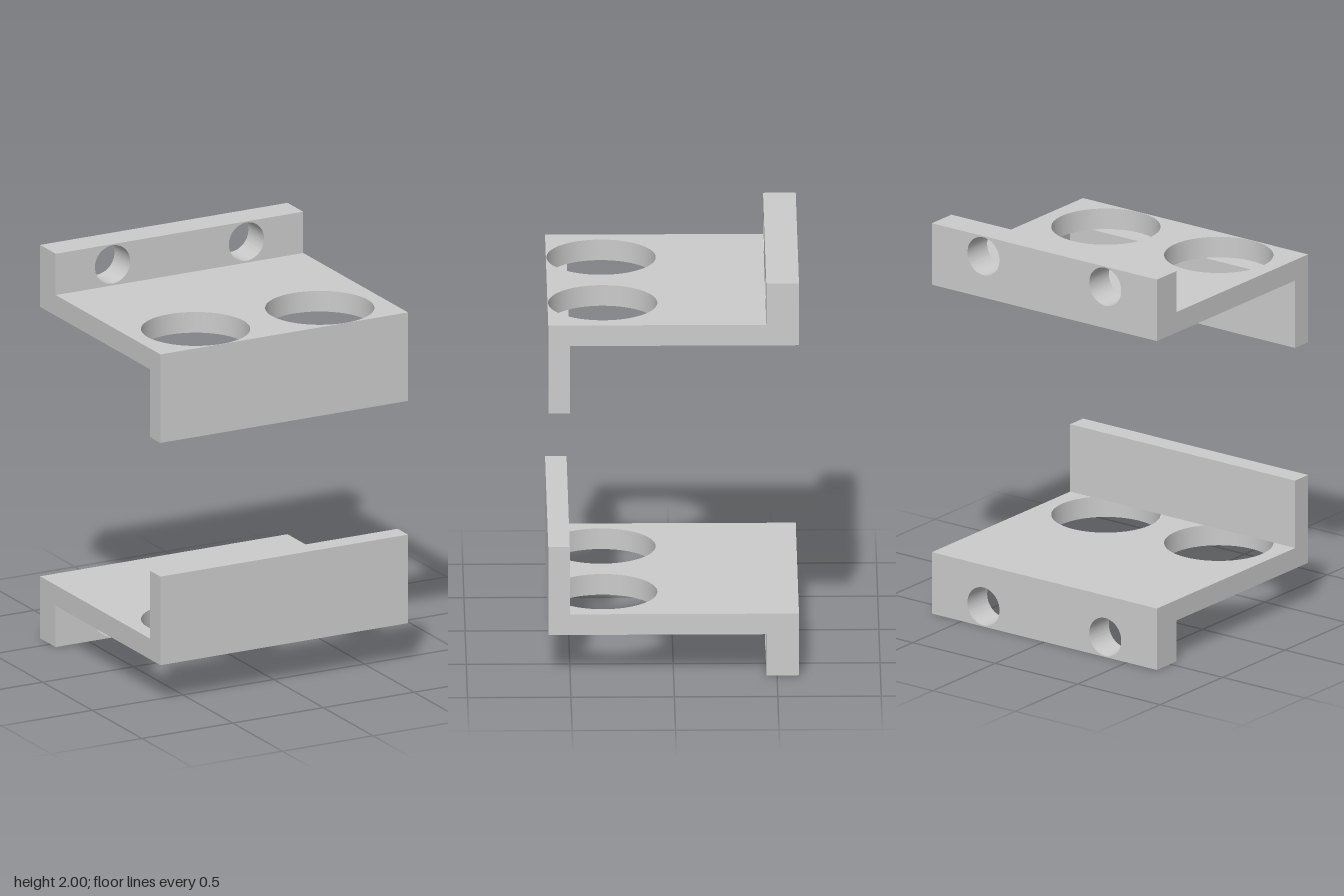
import * as THREE from 'three';
import { toCreasedNormals } from 'three/addons/utils/BufferGeometryUtils.js';

const HALF_W = 0.682, BACK = -0.606, FRONT = 0.606;
const PLATE_TOP = 1.79, PLATE_BOTTOM = 1.685;
const material = new THREE.MeshStandardMaterial({ color: 0xcccccc });

// Rectangular slab with a mirrored pair of round holes, extruded along +z
function drilledSlab(y0, y1, depth, holeX, holeY, radius) {
  const shape = new THREE.Shape([
    new THREE.Vector2(-HALF_W, y0), new THREE.Vector2(HALF_W, y0),
    new THREE.Vector2(HALF_W, y1), new THREE.Vector2(-HALF_W, y1),
  ]);
  for (const side of [-1, 1]) {
    shape.holes.push(new THREE.Path().absarc(side * holeX, holeY, radius, 0, Math.PI * 2, true));
  }
  const geometry = new THREE.ExtrudeGeometry(shape, { depth, bevelEnabled: false, curveSegments: 64 });
  return toCreasedNormals(geometry, 0.5);
}

function part(name, geometry) {
  const mesh = new THREE.Mesh(geometry, material);
  mesh.name = name;
  return mesh;
}

function createBracket(name) {
  const bracket = new THREE.Group();
  bracket.name = name;

  // Horizontal plate with two large holes almost touching the front edge
  const plate = drilledSlab(BACK, FRONT, PLATE_TOP - PLATE_BOTTOM, 0.342, 0.339, 0.264);
  plate.rotateX(Math.PI / 2).translate(0, PLATE_TOP, 0);
  bracket.add(part('plate', plate));

  // Rear mounting rail with two screw holes
  const rail = drilledSlab(PLATE_TOP, 2, 0.158, 0.369, 1.897, 0.097);
  rail.translate(0, 0, BACK);
  bracket.add(part('mountingRail', rail));

  // Front flange hanging from the plate
  const flangeEnd = 1.34, thickness = 0.104;
  const flange = new THREE.BoxGeometry(2 * HALF_W, PLATE_BOTTOM - flangeEnd, thickness);
  flange.translate(0, (PLATE_BOTTOM + flangeEnd) / 2, FRONT - thickness / 2);
  bracket.add(part('frontFlange', flange));
  return bracket;
}

export function createModel() {
  const model = new THREE.Group();
  model.name = 'bracketPair';
  const upper = createBracket('upperBracket');
  // The lower bracket is the same piece turned upside down
  const lower = createBracket('lowerBracket');
  lower.rotation.z = Math.PI;
  lower.position.y = 2;
  model.add(upper, lower);
  return model;
}
